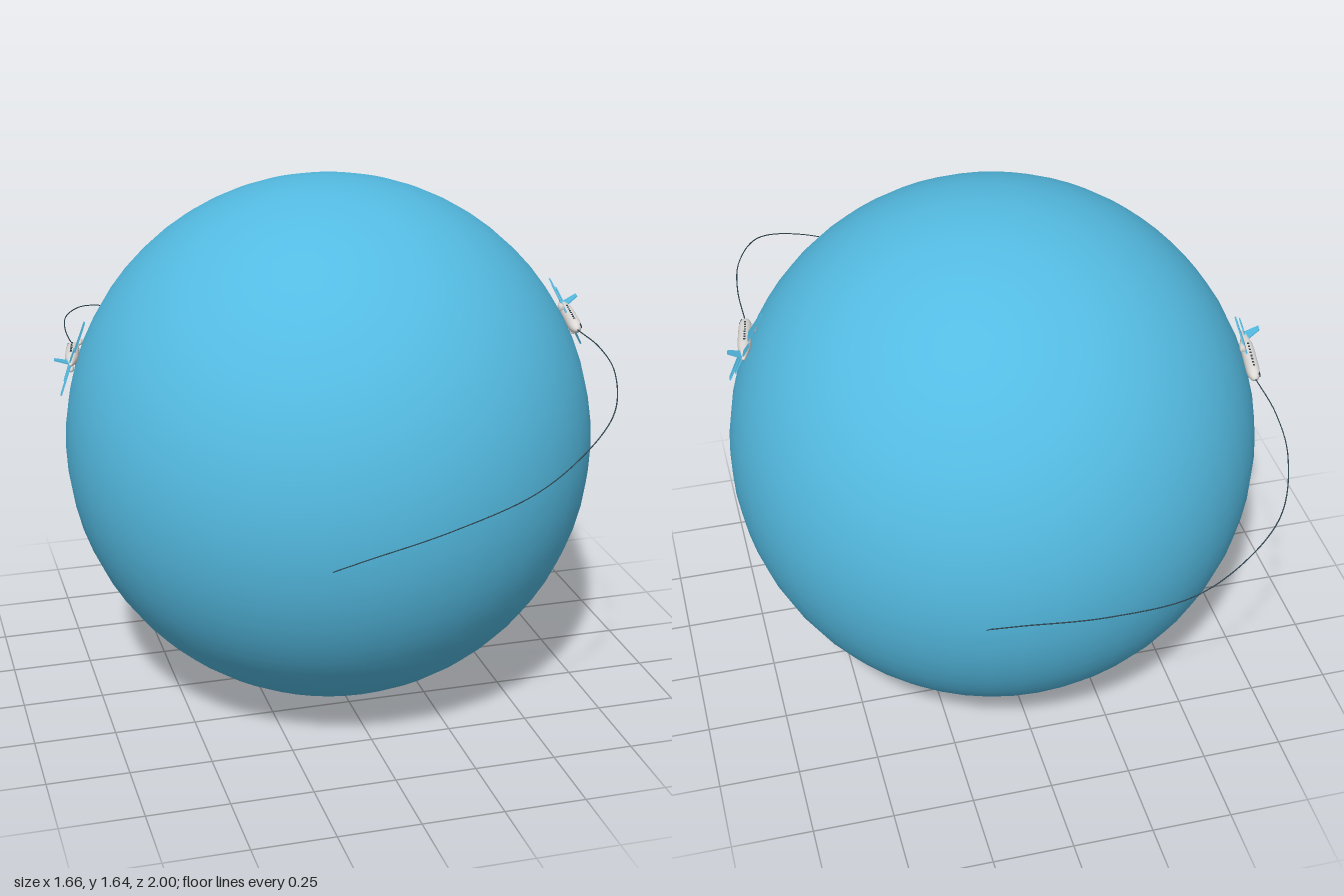
import * as THREE from 'three';

const RADIUS = 0.82;

const mat = (name, color) => {
  const m = new THREE.MeshStandardMaterial({ color });
  m.name = name;
  return m;
};

export function createModel() {
  const blue = mat('sky blue', 0x54bbe2);
  const white = mat('off white', 0xdeDad7);
  const dark = mat('dark slate', 0x2f4650);

  const add = (parent, name, geometry, material, x = 0, y = 0, z = 0) => {
    const mesh = new THREE.Mesh(geometry, material);
    mesh.name = name;
    mesh.position.set(x, y, z);
    parent.add(mesh);
    return mesh;
  };

  // Flat panel extruded from an outline, centred on its thickness
  const panel = (points, thickness) => {
    const shape = new THREE.Shape(points.map(([a, b]) => new THREE.Vector2(a, b)));
    return new THREE.ExtrudeGeometry(shape, { depth: thickness, bevelEnabled: false })
      .translate(0, 0, -thickness / 2);
  };
  const wing = (points, side, thickness) =>
    panel(points.map(([x, z]) => [x * side, z]), thickness).rotateX(Math.PI / 2);

  // Round body turned along z
  const turned = (profile, sides) =>
    new THREE.LatheGeometry(profile.map(([r, z]) => new THREE.Vector2(r, z)), sides)
      .rotateX(Math.PI / 2);

  // Airliner: y up, nose towards +z
  function createAirplane() {
    const plane = new THREE.Group();
    plane.name = 'airplane';

    add(plane, 'fuselage', turned([
      [0, -0.118], [0.005, -0.116], [0.012, -0.085], [0.019, -0.05], [0.021, -0.02],
      [0.021, 0.075], [0.019, 0.095], [0.014, 0.11], [0.007, 0.118], [0, 0.12],
    ], 20), white);

    for (const side of [1, -1]) {
      add(plane, 'wing', wing(
        [[0.01, 0.022], [0.12, -0.028], [0.12, -0.05], [0.01, -0.034]], side, 0.005),
      blue, 0, -0.004, 0);
      add(plane, 'tailplane', wing(
        [[0.004, -0.078], [0.052, -0.105], [0.052, -0.122], [0.004, -0.11]], side, 0.004),
      blue, 0, 0.004, 0);
      add(plane, 'engine', turned([
        [0, -0.018], [0.005, -0.018], [0.009, 0], [0.009, 0.014], [0.007, 0.017], [0, 0.017],
      ], 12), white, side * 0.045, -0.011, 0.008);

      // Cabin windows
      for (let i = 0; i < 8; i++) {
        const pane = add(plane, 'window', new THREE.BoxGeometry(0.002, 0.006, 0.006), dark,
          side * 0.0195, 0.0085, -0.03 + i * 0.015);
        pane.rotation.z = side * 0.41;
      }
    }

    // Cockpit glass
    const glass = add(plane, 'windscreen', new THREE.BoxGeometry(0.014, 0.002, 0.009), dark,
      0, 0.0168, 0.1025);
    glass.rotation.x = 0.32;

    add(plane, 'tailFin', panel(
      [[-0.072, 0.008], [-0.1, 0.052], [-0.12, 0.052], [-0.112, 0.004]], 0.004)
      .rotateY(-Math.PI / 2), blue);
    return plane;
  }

  // Airplane skimming the globe, with its looping flight line
  function createFlight(yaw, tilt) {
    const flight = new THREE.Group();
    flight.name = 'flight';
    flight.position.y = RADIUS;
    flight.rotation.set(0, yaw, tilt, 'YXZ');

    const orbit = new THREE.Group();
    orbit.name = 'orbitArm';
    orbit.rotation.y = -0.19;
    const plane = createAirplane();
    plane.position.x = 0.838;
    plane.rotation.z = -Math.PI / 2;
    orbit.add(plane);
    flight.add(orbit);

    const path = new THREE.CatmullRomCurve3([
      [0.802, 0.27], [0.8, 0.45], [0.765, 0.64], [0.66, 0.85], [0.51, 0.955],
      [0.34, 0.997], [0.1, 0.935], [-0.13, 0.83], [-0.23, 0.785],
    ].map(([u, z]) => new THREE.Vector3(u, 0, z)));
    add(flight, 'flightPath', new THREE.TubeGeometry(path, 96, 0.0018, 6), dark);
    return flight;
  }

  const model = new THREE.Group();
  model.name = 'globeWithAirplanes';
  add(model, 'globe', new THREE.SphereGeometry(RADIUS, 48, 32), blue, 0, RADIUS, 0);
  model.add(createFlight(0, 0.477), createFlight(Math.PI, 0.345));
  return model;
}
